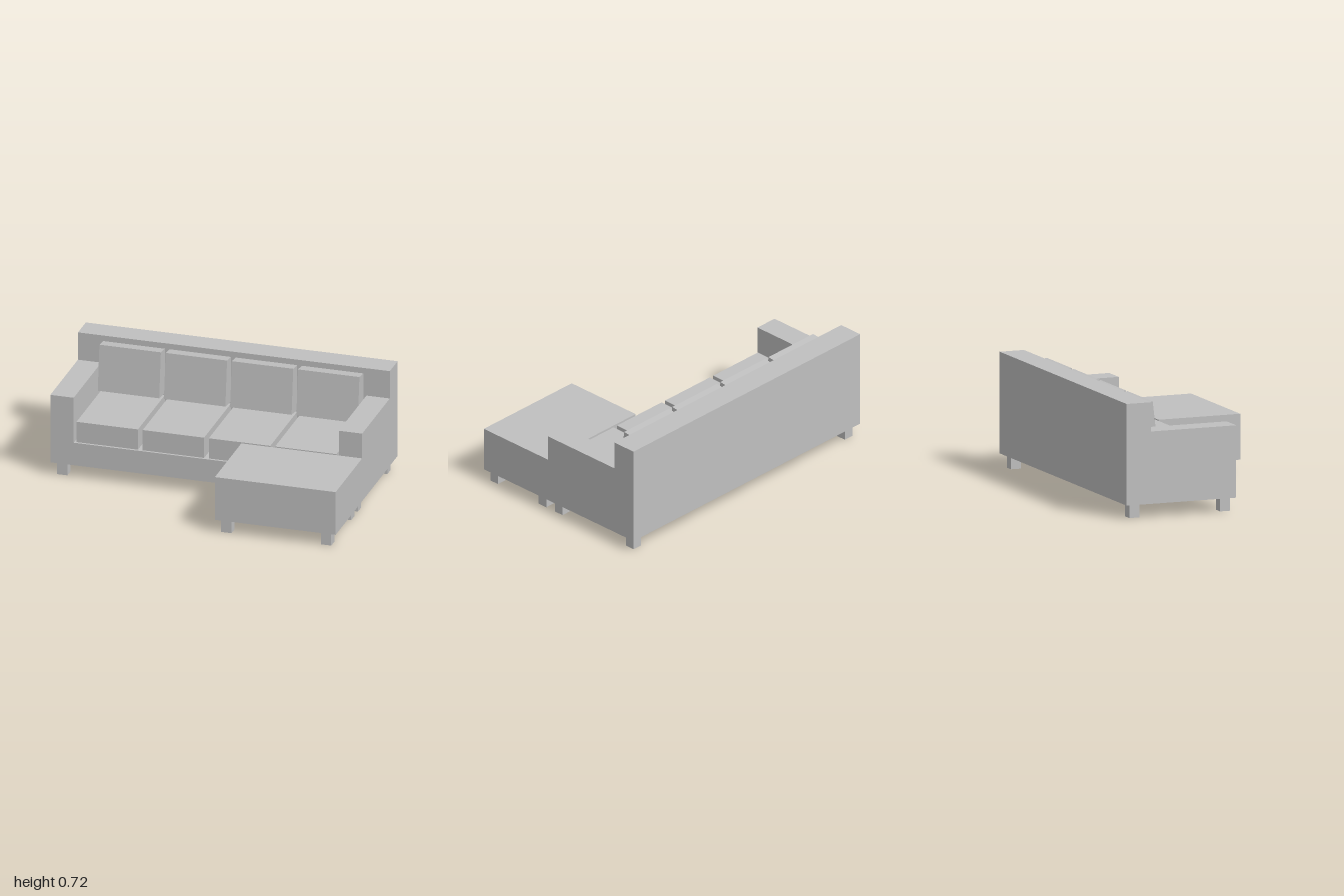
import * as THREE from 'three';

export function createModel() {
  const model = new THREE.Group();
  model.name = 'cornerSofa';
  const fabric = new THREE.MeshStandardMaterial({ color: 0xbfbfbf });
  fabric.name = 'light grey';

  // Box given by its min and max on each axis
  function box(name, [x0, x1], [y0, y1], [z0, z1]) {
    const mesh = new THREE.Mesh(new THREE.BoxGeometry(x1 - x0, y1 - y0, z1 - z0), fabric);
    mesh.position.set((x0 + x1) / 2, (y0 + y1) / 2, (z0 + z1) / 2);
    mesh.name = name;
    model.add(mesh);
    return mesh;
  }

  const floor = 0.085, back = -0.636, backFront = -0.475, front = 0.092;

  // Frame: seat base, backrest, two arms and the chaise block
  box('seatBase', [-0.85, 0.85], [floor, 0.235], [backFront, front]);
  box('backrest', [-1, 1], [floor, 0.717], [back, backFront]);
  box('rightArm', [-1, -0.85], [floor, 0.535], [backFront, front]);
  box('leftArm', [0.85, 1], [floor, 0.535], [backFront, front]);
  box('chaise', [0.225, 1], [floor, 0.37], [front, 0.636]);

  // Four seat cushions, each with a leaning back cushion
  const tilt = -0.116;
  for (let i = 0; i < 4; i++) {
    const x = -0.64 + i * 0.4245;
    const span = [x - 0.197, x + 0.197];
    box('seatCushion', span, [0.235, 0.37], [backFront, 0.077]);
    const cushion = box('backCushion', span, [0.387, 0.682], [-0.536, -0.376]);
    cushion.position.y = 0.534;
    cushion.position.z = -0.456;
    cushion.rotation.x = tilt;
  }

  // Square feet under the sofa and the chaise
  const feet = [
    [-0.932, -0.57], [0.932, -0.57], [-0.932, 0.033], [0.932, 0.033],
    [0.292, 0.172], [0.932, 0.172], [0.292, 0.582], [0.932, 0.582],
  ];
  for (const [x, z] of feet) {
    box('foot', [x - 0.033, x + 0.033], [0, floor], [z - 0.033, z + 0.033]);
  }
  return model;
}
